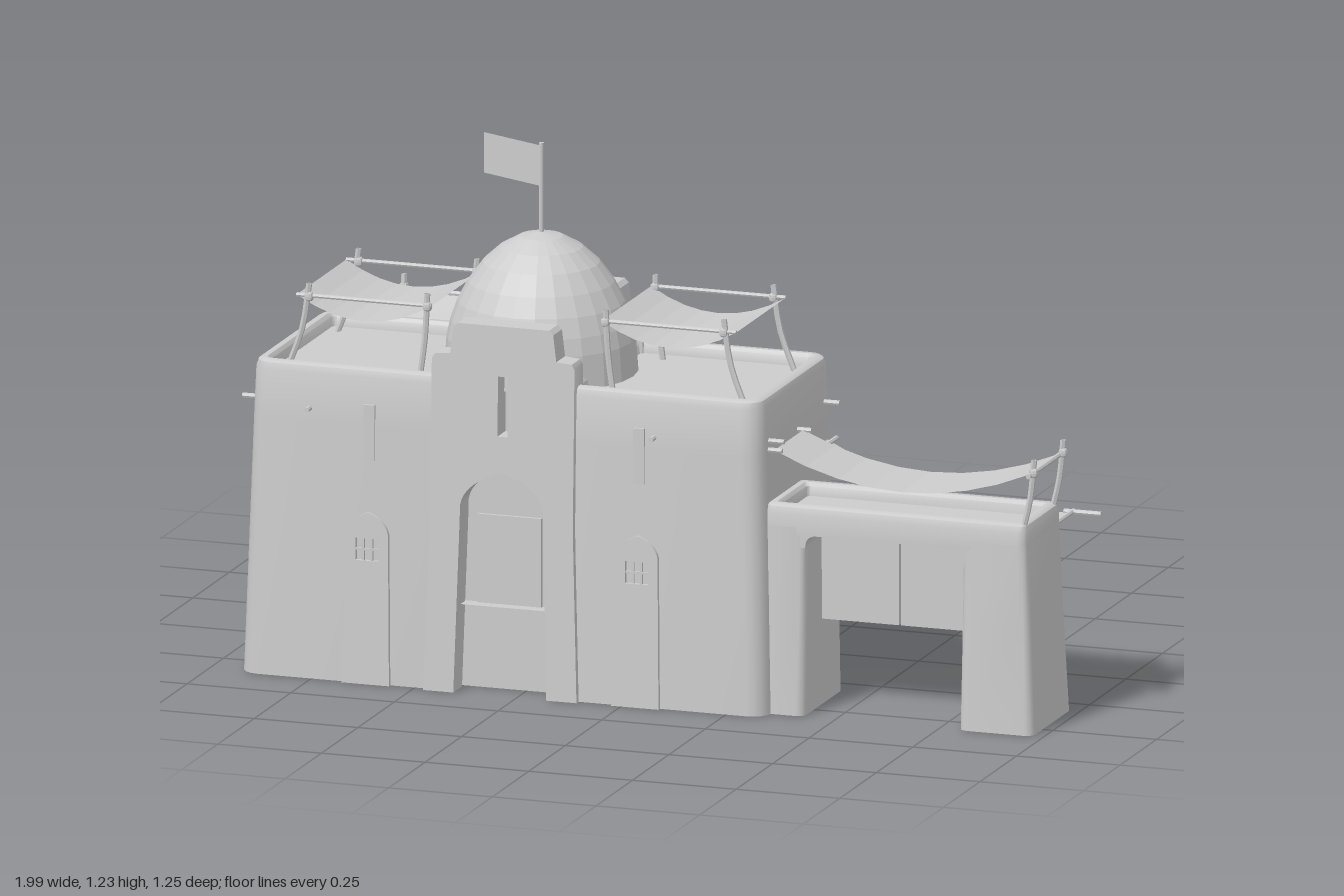
import * as THREE from 'three';
import { toCreasedNormals } from 'three/addons/utils/BufferGeometryUtils.js';

const clay = new THREE.MeshStandardMaterial({ color: 0xcccccc, side: THREE.DoubleSide });
clay.name = 'pale clay';

const V = (x, y, z) => new THREE.Vector3(x, y, z);
// outward lean of the walls toward the ground
const flare = y => 0.022 * (1 - y / 0.73);

function add(parent, name, geo, crease = 0.6) {
  const m = new THREE.Mesh(toCreasedNormals(geo, crease), clay);
  m.name = name;
  parent.add(m);
  return m;
}

function group(parent, name, x = 0, y = 0, z = 0, turn = 0) {
  const g = new THREE.Group();
  g.name = name;
  g.position.set(x, y, z);
  g.rotation.y = turn;
  parent.add(g);
  return g;
}

function box(parent, name, w, h, d, x, y, z) {
  return add(parent, name, new THREE.BoxGeometry(w, h, d).translate(x, y, z));
}

// rounded-rectangle rings [y, x0, x1, z0, z1, radius] joined from bottom to top
function loft(parent, name, rings) {
  const pos = [], idx = [], steps = 4, n = 4 * (steps + 1);
  for (const [y, x0, x1, z0, z1, r] of rings)
    for (let c = 0; c < 4; c++)
      for (let k = 0; k <= steps; k++) {
        const a = (c + k / steps) * Math.PI / 2;
        const cx = c === 0 || c === 3 ? x1 - r : x0 + r;
        const cz = c < 2 ? z1 - r : z0 + r;
        pos.push(cx + r * Math.cos(a), y, cz + r * Math.sin(a));
      }
  for (let i = 0; i < rings.length - 1; i++)
    for (let j = 0; j < n; j++) {
      const a = i * n + j, b = i * n + (j + 1) % n;
      idx.push(a, a + n, b, b, a + n, b + n);
    }
  const g = new THREE.BufferGeometry();
  g.setAttribute('position', new THREE.Float32BufferAttribute(pos, 3));
  g.setIndex(idx);
  return add(parent, name, g);
}

// top rim, sunken roof and closing centre for a lofted block
function tray(top, x0, x1, z0, z1, r) {
  const inset = (y, d) => [y, x0 + d, x1 - d, z0 + d, z1 - d, Math.max(r - d, 0.008)];
  const cx = (x0 + x1) / 2, cz = (z0 + z1) / 2;
  return [inset(top - 0.02, 0), inset(top - 0.005, 0.005), inset(top, 0.013), inset(top, 0.026),
    inset(top - 0.008, 0.033), inset(top - 0.03, 0.036), [top - 0.03, cx, cx, cz, cz, 0]];
}

function stick(parent, name, a, b, r = 0.006) {
  const d = b.clone().sub(a);
  const m = add(parent, name, new THREE.CylinderGeometry(r, r, d.length(), 7));
  m.position.copy(a).addScaledVector(d, 0.5);
  m.quaternion.setFromUnitVectors(V(0, 1, 0), d.normalize());
  return m;
}

function post(parent, base, top) {
  const mid = V(base.x * 0.3 + top.x * 0.7, (base.y + top.y) / 2, base.z * 0.3 + top.z * 0.7);
  add(parent, 'awningPost', new THREE.TubeGeometry(new THREE.CatmullRomCurve3([base, mid, top]), 6, 0.007, 6));
  const knot = add(parent, 'ropeKnot', new THREE.SphereGeometry(0.012, 8, 6), 1);
  knot.position.copy(top).y -= 0.03;
}

// cloth between edge a-b and edge c-d, hanging down in the middle
function cloth(parent, name, a, b, c, d, sag) {
  const g = new THREE.PlaneGeometry(1, 1, 8, 1), p = g.attributes.position;
  for (let i = 0; i < p.count; i++) {
    const u = p.getX(i) + 0.5, v = p.getY(i) + 0.5;
    const q = a.clone().lerp(b, v).lerp(c.clone().lerp(d, v), u);
    p.setXYZ(i, q.x, q.y - sag * 4 * u * (1 - u), q.z);
  }
  return add(parent, name, g, 0.1);
}

// extrude outward from depth z0, leaning with the wall
function wallPlate(parent, name, shape, z0, depth) {
  const g = new THREE.ExtrudeGeometry(shape, { depth, bevelEnabled: false, curveSegments: 8 });
  const p = g.attributes.position;
  for (let i = 0; i < p.count; i++) p.setZ(i, p.getZ(i) + z0 + flare(p.getY(i)));
  return add(parent, name, g);
}

function rectHole(x0, x1, y0, y1) {
  return new THREE.Path([[x0, y0], [x0, y1], [x1, y1], [x1, y0]].map(p => new THREE.Vector2(...p)));
}

// pointed arch standing on the ground
function arch(path, w, shoulder, top) {
  path.lineTo(-w * 1.12, 0);
  path.lineTo(-w, shoulder);
  path.quadraticCurveTo(-w * 0.9, (shoulder + top * 2) / 3, 0, top);
  path.quadraticCurveTo(w * 0.9, (shoulder + top * 2) / 3, w, shoulder);
  path.lineTo(w * 1.12, 0);
}

function archWindow(wall, x) {
  const g = group(wall, 'archWindow', x);
  const s = new THREE.Shape().moveTo(-0.06, 0);
  arch(s, 0.05, 0.35, 0.4);
  s.holes.push(rectHole(-0.028, 0.028, 0.288, 0.34));
  wallPlate(g, 'windowSurround', s, -0.02, 0.03);
  for (const bx of [-0.01, 0.01]) box(g, 'windowBar', 0.005, 0.052, 0.005, bx, 0.314, 0.018);
  box(g, 'windowBar', 0.056, 0.005, 0.005, 0, 0.314, 0.018);
}

function ladder(parent, x, z, lean) {
  const g = group(parent, 'ladder', x, 0, z);
  for (const s of [-1, 1]) stick(g, 'ladderRail', V(s * 0.03, 0.2, lean), V(s * 0.03, 0.48, 0));
  for (const y of [0.25, 0.315, 0.375, 0.43]) {
    const rz = lean * (0.48 - y) / 0.28;
    stick(g, 'ladderRung', V(-0.045, y, rz), V(0.045, y, rz));
    for (const s of [-1, 1])
      add(g, 'ropeKnot', new THREE.SphereGeometry(0.01, 6, 5), 1).position.set(s * 0.03, y, rz);
  }
}

// gate wing running along local +x
function gateWing(parent, name, x, z, turn, L, hw, o0, o1, ends) {
  const g = group(parent, name, x, 0, z, turn), w = hw - 0.012;
  for (const [a, b, fa, fb] of [[-0.01, o0, 0, 0.002], [o1, L - 0.02, 0.004, 0.02]])
    loft(g, 'gatePillar', [[0, a - fa, b + fb, -hw, hw, 0.022],
      [0.25, a - fa * 0.4, b + fb * 0.4, -hw + 0.008, hw - 0.008, 0.022],
      [0.44, a, b, -w, w, 0.022]]);
  loft(g, 'gateLintel', [[0.422, L / 2, L / 2, 0, 0, 0], [0.422, -0.01, L - 0.02, -w, w, 0.022],
    ...tray(0.49, -0.01, L - 0.02, -w, w, 0.022)]);
  // rounded upper corners of the opening
  for (const [cx, s] of [[o0, 1], [o1, -1]]) {
    const f = new THREE.Shape().moveTo(-s * 0.02, 0.43);
    f.lineTo(cx ? s * 0.03 : 0, 0.43);
    f.lineTo(s * 0.03, 0.422);
    f.quadraticCurveTo(0, 0.422, 0, 0.392);
    f.lineTo(-s * 0.02, 0.392);
    add(g, 'openingCorner', new THREE.ExtrudeGeometry(f, { depth: 2 * w - 0.004, bevelEnabled: false, curveSegments: 5 })
      .translate(cx, 0, -w + 0.002));
  }
  const mid = (o0 + o1) / 2, half = (o1 - o0) / 2;
  for (const s of [-1, 1])
    box(g, 'gateDoor', half - 0.003, 0.208, 0.016, mid + s * (half / 2 + 0.001), 0.304, 0);
  // awning above the wing
  const c = hw - 0.035;
  for (const px of ends) {
    const out = px > L / 2 ? 0.015 : -0.005;
    for (const s of [-1, 1]) post(g, V(px - out, 0.46, s * c), V(px + out, 0.64, s * c));
    stick(g, 'awningBar', V(px + out * 0.5, 0.605, -c - 0.02), V(px + out * 0.5, 0.605, c + 0.02));
  }
  cloth(g, 'wingAwning', V(0.01, 0.61, -c), V(0.01, 0.61, c), V(L - 0.02, 0.605, -c), V(L - 0.02, 0.605, c), 0.07);
  return g;
}

export function createModel() {
  const root = new THREE.Group();
  root.name = 'domedGatehouse';
  const house = group(root, 'mainHouse', -0.29, 0, 0.34);
  const W = 0.613, D = 0.248;

  // two side blocks with sunken roofs
  for (const s of [-1, 1]) {
    const span = f => s > 0 ? [0.13, W + f] : [-W - f, -0.13];
    const ring = y => [y, ...span(flare(y)), -D - flare(y), D + flare(y), 0.045];
    loft(house, 'sideBlock', [ring(0), ring(0.35), ring(0.6), ...tray(0.732, ...span(0), -D, D, 0.045)]);
    // roof awning
    const a = s * 0.205, b = s * 0.53;
    for (const z of [-0.17, 0.17]) {
      post(house, V(s * 0.555, 0.69, z), V(s * 0.5, 0.9, z));
      post(house, V(s * 0.235, 0.69, z), V(s * 0.215, 0.9, z));
      stick(house, 'awningBar', V(a, 0.872, z), V(b, 0.872, z), 0.005);
    }
    cloth(house, 'roofAwning', V(a, 0.872, -0.17), V(a, 0.872, 0.17), V(b, 0.872, -0.17), V(b, 0.872, 0.17), 0.05);
    for (const z of [-0.19, 0.19])
      stick(house, 'wallPeg', V(s * (W - 0.03), 0.63, z), V(s * (W + 0.04), 0.63, z));
  }
  box(house, 'centreRoof', 0.3, 0.02, 0.42, 0, 0.71, 0);
  add(house, 'floor', new THREE.PlaneGeometry(1.22, 0.5).rotateX(Math.PI / 2).translate(0, 0.2, 0));

  // front and back walls: stepped gable with doorway, windows, slits and pegs
  for (const turn of [0, Math.PI]) {
    const wall = group(house, turn ? 'backWall' : 'frontWall', 0, 0, turn ? -D : D, turn);
    const s = new THREE.Shape().moveTo(-0.185, 0);
    arch(s, 0.1, 0.44, 0.52);
    for (const [x, y] of [[0.185, 0], [0.172, 0.4], [0.172, 0.775], [0.165, 0.787], [0.128, 0.79], [0.12, 0.852],
      [0.11, 0.862], [-0.11, 0.862], [-0.12, 0.852], [-0.128, 0.79], [-0.165, 0.787], [-0.172, 0.775], [-0.172, 0.4]])
      s.lineTo(x, y);
    s.holes.push(rectHole(-0.012, 0.012, 0.605, 0.745));
    wallPlate(wall, 'gable', s, -0.045, 0.06);
    box(wall, 'doorwayBack', 0.26, 0.77, 0.01, 0, 0.385, -0.04);
    box(wall, 'door', 0.155, 0.208, 0.014, 0, 0.304, -0.034);
    for (const side of [-1, 1]) {
      archWindow(wall, side * 0.325);
      box(wall, 'wallSlit', 0.026, 0.13, 0.012, side * 0.325, 0.585, 0.004);
    }
    for (const x of [-0.47, 0.36]) stick(wall, 'wallPeg', V(x, 0.63, -0.02), V(x, 0.63, 0.025));
  }

  // end walls
  archWindow(group(house, 'leftEndWall', W, 0, 0, Math.PI / 2), 0.11);
  archWindow(group(house, 'rightEndWall', -W, 0, 0, -Math.PI / 2), 0);

  // faceted, slightly pointed dome, flagpole and flag
  const dome = [[0.222, 0.7], [0.216, 0.78], [0.207, 0.82], [0.191, 0.865], [0.167, 0.91],
    [0.134, 0.955], [0.095, 0.99], [0.05, 1.015], [0, 1.025]];
  add(house, 'dome', new THREE.LatheGeometry(dome.map(p => new THREE.Vector2(...p)), 24), 0.1);
  stick(house, 'flagpole', V(0, 1.0, 0), V(0, 1.232, 0));
  cloth(house, 'flag', V(0, 1.13, 0), V(0, 1.225, 0), V(-0.165, 1.13, -0.075), V(-0.165, 1.225, -0.075), 0);

  // gate wings
  const sideWing = gateWing(root, 'sideGate', 0.33, 0.435, 0, 0.645, 0.135, 0.092, 0.47, [0.622]);
  for (const z of [-0.1, 0.1]) stick(sideWing, 'wallPeg', V(-0.03, 0.61, z), V(0.03, 0.61, z));
  ladder(sideWing, 0.05, -0.13, -0.055);
  const backWing = gateWing(root, 'backGate', -0.85, 0.07, Math.PI / 2, 0.7, 0.14, 0.16, 0.525, [0.03, 0.665]);
  ladder(backWing, 0.592, 0.145, 0.045);
  for (const x of [0.08, 0.6]) stick(backWing, 'wallPeg', V(x, 0.435, -0.1), V(x, 0.435, -0.15));

  // lower awning behind the side gate
  cloth(root, 'lowAwning', V(0.33, 0.54, 0.14), V(0.33, 0.54, 0.29), V(0.92, 0.42, 0.14), V(0.92, 0.42, 0.29), 0.05);
  stick(root, 'awningBar', V(0.92, 0.42, 0.13), V(0.92, 0.42, 0.34));
  stick(root, 'awningBar', V(0.345, 0.54, 0.12), V(0.345, 0.54, 0.32));
  stick(root, 'awningRope', V(0.9, 0.42, 0.14), V(0.99, 0.42, 0.14));
  return root;
}
